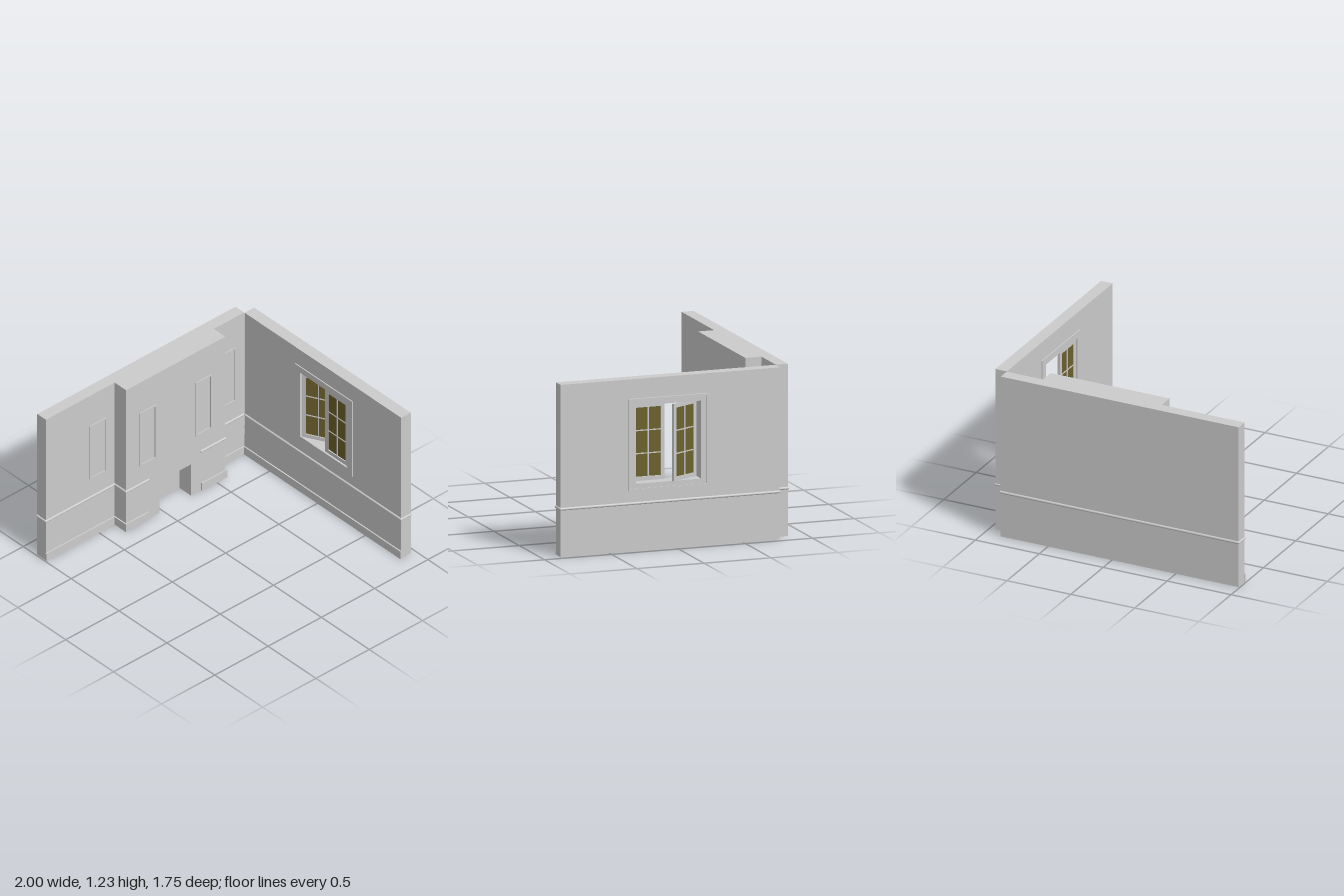
import * as THREE from 'three';

const grey = new THREE.MeshStandardMaterial({ color: 0xcccccc });
const glassMat = new THREE.MeshStandardMaterial({ color: 0x6b612c });
const H = 1.23;

function add(parent, name, geometry, material = grey) {
  const m = new THREE.Mesh(geometry, material);
  m.name = name;
  parent.add(m);
  return m;
}

// Box given by its limits on each axis
function box(parent, name, x0, x1, y0, y1, z0, z1, material = grey) {
  const m = add(parent, name, new THREE.BoxGeometry(x1 - x0, y1 - y0, z1 - z0), material);
  m.position.set((x0 + x1) / 2, (y0 + y1) / 2, (z0 + z1) / 2);
  return m;
}

function rectPoints(u0, u1, v0, v1) {
  return [[u0, v0], [u1, v0], [u1, v1], [u0, v1]].map(([u, v]) => new THREE.Vector2(u, v));
}

// Rectangle with a rectangular hole, extruded along z
function ring(outer, inner, depth) {
  const shape = new THREE.Shape(rectPoints(...outer));
  shape.holes.push(new THREE.Path(rectPoints(...inner)));
  return new THREE.ExtrudeGeometry(shape, { depth, bevelEnabled: false });
}

// Same, but lying in the z-y plane between x0 and x1
function sideRing(outer, inner, x0, x1) {
  return ring(outer, inner, x1 - x0).rotateY(-Math.PI / 2).translate(x1, 0, 0);
}

// Round moulding half sunk into the wall, following floor-plan points
function rail(parent, points, closed) {
  const g = new THREE.Group();
  g.name = 'dadoRail';
  parent.add(g);
  const n = points.length;
  for (let i = 0; i < n; i++) {
    const a = new THREE.Vector3(points[i][0], 0.342, points[i][1]);
    add(g, 'railCorner', new THREE.SphereGeometry(0.01, 12, 8)).position.copy(a);
    if (i === n - 1 && !closed) break;
    const q = points[(i + 1) % n];
    const b = new THREE.Vector3(q[0], 0.342, q[1]);
    const run = add(g, 'railRun', new THREE.CylinderGeometry(0.01, 0.01, a.distanceTo(b), 12));
    run.position.copy(a).add(b).multiplyScalar(0.5);
    run.quaternion.setFromUnitVectors(new THREE.Vector3(0, 1, 0), b.sub(a).normalize());
  }
}

// Sash with its hinge edge at the origin, reaching along +z
function sash(name) {
  const g = new THREE.Group();
  g.name = name;
  const w = 0.242, y0 = 0.485, y1 = 1.037, t = 0.01, f = 0.029;
  add(g, 'sashFrame', sideRing([0, w, y0, y1], [f, w - f, y0 + f, y1 - f], -t, t));
  box(g, 'glass', -0.002, 0.002, y0 + f, y1 - f, f, w - f, glassMat);
  box(g, 'verticalBar', -0.006, 0.006, y0 + f, y1 - f, w / 2 - 0.004, w / 2 + 0.004);
  for (const k of [1, 2]) {
    const y = y0 + f + (y1 - y0 - 2 * f) * k / 3;
    box(g, 'horizontalBar', -0.006, 0.006, y - 0.004, y + 0.004, f, w - f);
  }
  return g;
}

export function createModel() {
  const model = new THREE.Group();
  model.name = 'roomCorner';

  // Back wall
  const back = new THREE.Group();
  back.name = 'backWall';
  model.add(back);
  box(back, 'backWallSlab', -0.99, 0.87, 0, H, -0.865, -0.775);

  // Chimney breast with the fireplace opening
  const outline = [[-0.345, 0], [-0.03, 0], [-0.03, 0.275], [0.265, 0.275],
    [0.265, 0], [0.585, 0], [0.585, H], [-0.345, H]];
  const breast = new THREE.Shape(outline.map(([x, y]) => new THREE.Vector2(x, y)));
  add(back, 'chimneyBreast', new THREE.ExtrudeGeometry(breast, { depth: 0.12, bevelEnabled: false }))
    .position.z = -0.775;

  // Skirting boards of the back wall and the breast
  const skirt = 0.065;
  box(back, 'skirting', -0.995, -0.345, 0, skirt, -0.775, -0.765);
  box(back, 'skirting', 0.585, 0.87, 0, skirt, -0.775, -0.765);
  box(back, 'skirting', -0.355, -0.345, 0, skirt, -0.775, -0.645);
  box(back, 'skirting', 0.585, 0.595, 0, skirt, -0.775, -0.645);
  box(back, 'skirting', -0.345, -0.135, 0, skirt, -0.655, -0.645);
  box(back, 'skirting', 0.36, 0.585, 0, skirt, -0.655, -0.645);

  // Dado rail, broken over the fireplace
  rail(back, [[-0.135, -0.655], [-0.345, -0.655], [-0.345, -0.775], [-0.99, -0.775], [-0.99, -0.865],
    [0.87, -0.865], [0.87, -0.775], [0.585, -0.775], [0.585, -0.655], [0.36, -0.655]], false);

  // Slim panel mouldings
  const panels = [[-0.58, -0.425, -0.775], [-0.22, -0.065, -0.655],
    [0.305, 0.455, -0.655], [0.65, 0.79, -0.775]];
  for (const [x0, x1, z] of panels) {
    const e = 0.012;
    add(back, 'panelMoulding', ring([x0, x1, 0.5, 0.967], [x0 + e, x1 - e, 0.5 + e, 0.967 - e], 0.007))
      .position.z = z;
  }

  // Side wall with the window opening
  const side = new THREE.Group();
  side.name = 'sideWall';
  model.add(side);
  const opening = [-0.18, 0.308, 0.483, 1.04];
  add(side, 'sideWallSlab', sideRing([-0.77, 0.865, 0, H], opening, 0.87, 0.96));
  box(side, 'skirting', 0.86, 0.87, 0, skirt, -0.765, 0.87);
  rail(side, [[0.87, -0.765], [0.96, -0.765], [0.96, 0.865], [0.87, 0.865]], true);

  // Window trim on both faces, with a raised outer lip
  const trim = [-0.235, 0.36, 0.433, 1.09];
  const lip = [-0.22, 0.345, 0.448, 1.075];
  add(side, 'outerTrim', sideRing(trim, opening, 0.96, 0.97));
  add(side, 'outerTrimLip', sideRing(trim, lip, 0.97, 0.976));
  add(side, 'innerTrim', sideRing(trim, opening, 0.862, 0.87));

  // Shut sash, and its mirror swung outwards
  const shut = sash('shutSash');
  shut.position.set(0.885, 0, 0.064);
  side.add(shut);
  const open = sash('openSash');
  open.position.set(0.877, 0, -0.174);
  open.rotation.y = 0.49;
  side.add(open);

  return model;
}
